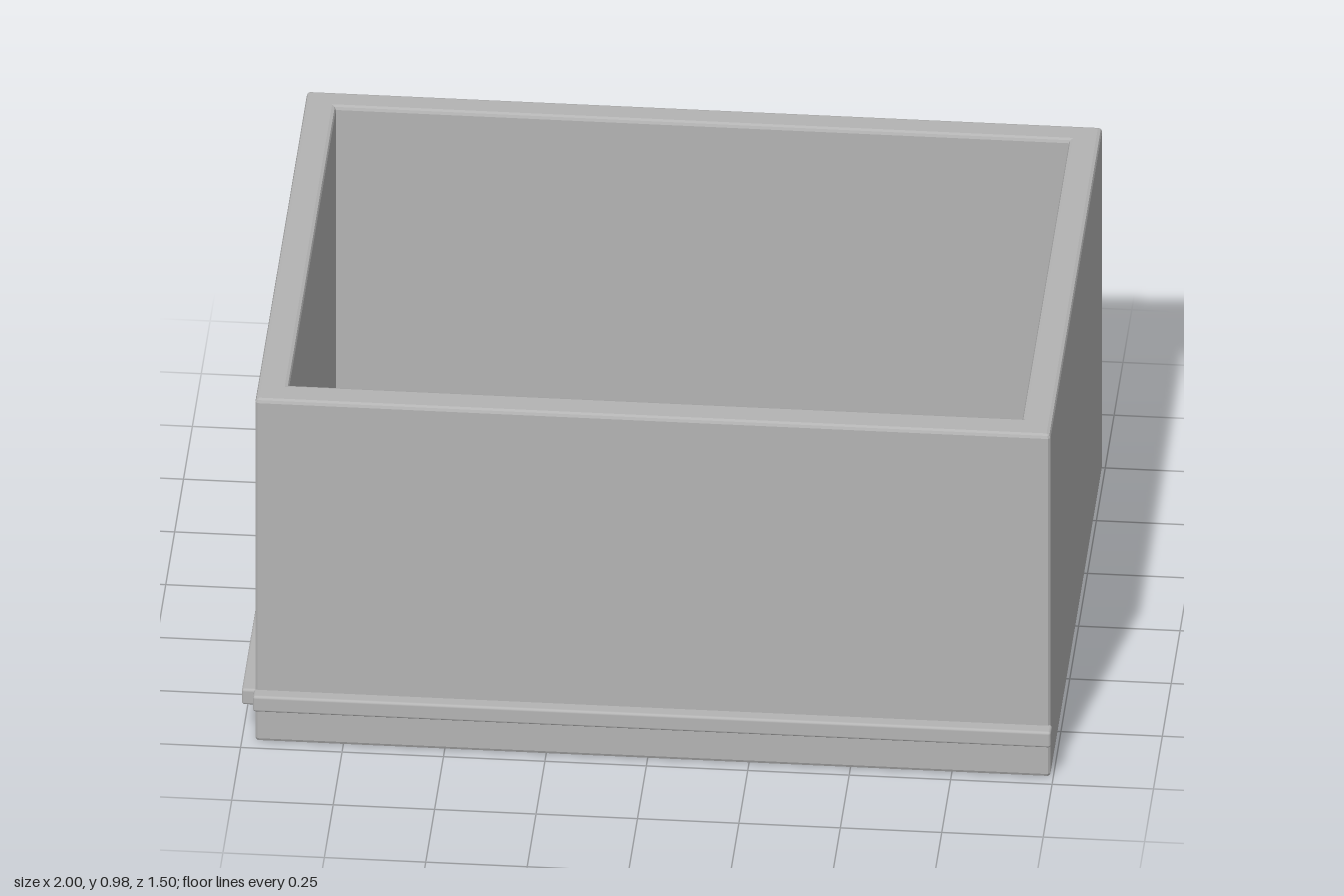
import * as THREE from 'three';
import { RoundedBoxGeometry } from 'three/addons/geometries/RoundedBoxGeometry.js';

const BEVEL = 0.01;

// Rectangle outline in plan (x, -z) with slightly chamfered corners
function outline(target, x0, x1, z0, z1, c) {
  const a = -z1, b = -z0;
  target.moveTo(x0 + c, a);
  target.lineTo(x1 - c, a);
  target.lineTo(x1, a + c);
  target.lineTo(x1, b - c);
  target.lineTo(x1 - c, b);
  target.lineTo(x0 + c, b);
  target.lineTo(x0, b - c);
  target.lineTo(x0, a + c);
  target.closePath();
  return target;
}

// Box from its minimum and maximum corners, with softened edges
function barBetween(name, min, max, material) {
  const size = max.map((v, i) => v - min[i]);
  const mesh = new THREE.Mesh(new RoundedBoxGeometry(...size, 2, 0.007), material);
  mesh.position.set(...max.map((v, i) => (v + min[i]) / 2));
  mesh.name = name;
  return mesh;
}

export function createModel() {
  const group = new THREE.Group();
  group.name = 'openBox';
  const grey = new THREE.MeshStandardMaterial({ color: 0xb4b4b4 });
  grey.name = 'plainGrey';

  // Four walls as one bevelled frame, open at top and bottom
  const height = 0.983;
  const plan = outline(new THREE.Shape(), -0.967, 0.993, -0.747, 0.719, 0.006);
  const hole = new THREE.Path();
  hole.moveTo(-0.89, -0.64);
  hole.lineTo(-0.89, 0.677);
  hole.lineTo(0.917, 0.677);
  hole.lineTo(0.917, -0.64);
  hole.closePath();
  plan.holes.push(hole);
  const frame = new THREE.ExtrudeGeometry(plan, {
    depth: height - 2 * BEVEL,
    bevelEnabled: true,
    bevelThickness: BEVEL,
    bevelSize: BEVEL,
    bevelOffset: -BEVEL,
    bevelSegments: 2,
  });
  frame.translate(0, 0, BEVEL).rotateX(-Math.PI / 2);
  const walls = new THREE.Mesh(frame, grey);
  walls.name = 'walls';
  group.add(walls);

  // Trim rails low on the front and on the right side
  group.add(
    barBetween('frontRail', [-0.97, 0.104, 0.71], [0.997, 0.149, 0.752], grey),
    barBetween('rightRail', [-1, 0.104, -0.752], [-0.962, 0.149, 0.72], grey),
  );
  return group;
}
